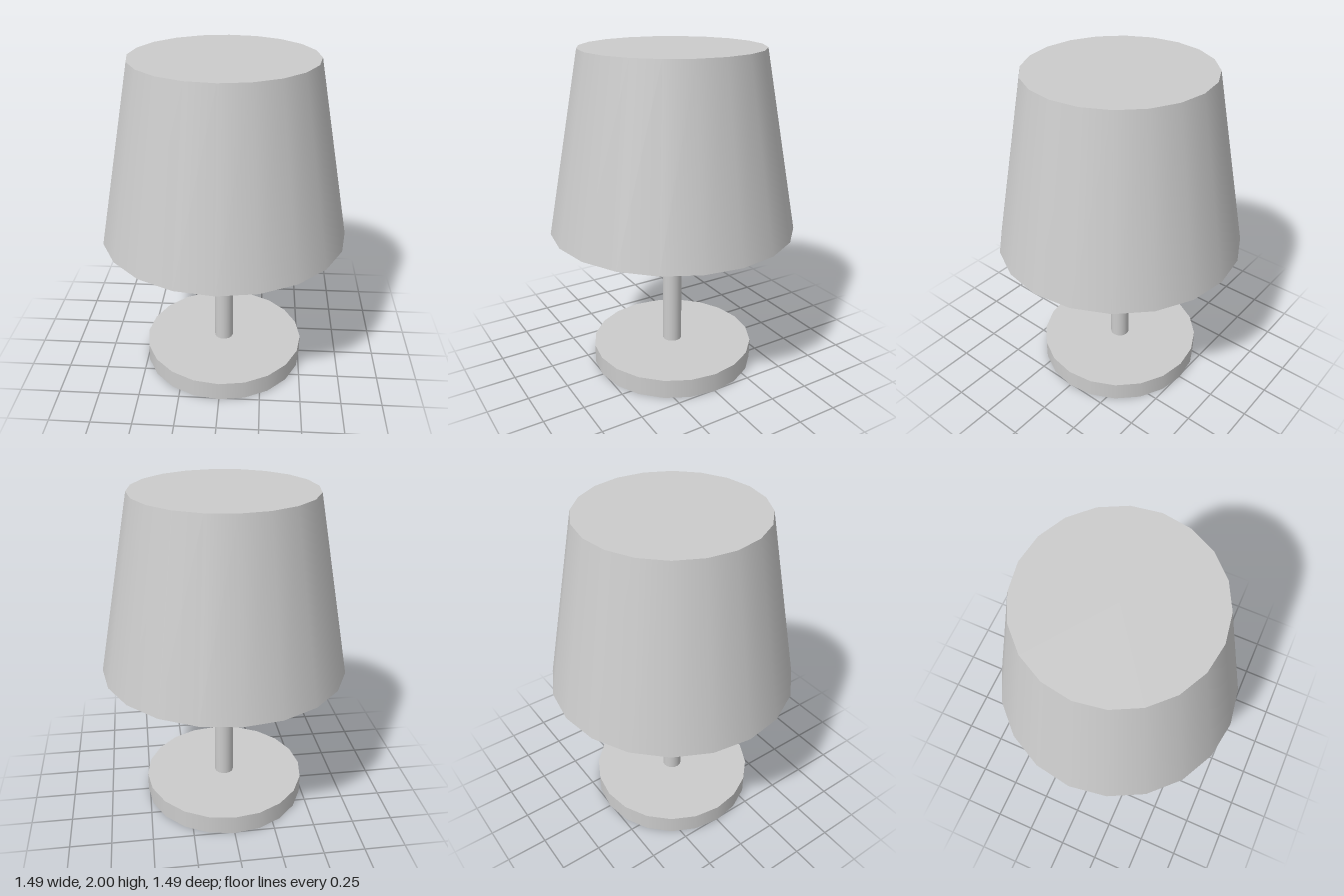
import * as THREE from 'three';

const SIDES = 20;

export function createModel() {
  const model = new THREE.Group();
  const smooth = new THREE.MeshStandardMaterial({ color: 0xcccccc });
  const inside = new THREE.MeshStandardMaterial({ color: 0xcccccc, flatShading: true, side: THREE.BackSide });

  const add = (name, geometry, material = smooth, parent = model) => {
    const mesh = new THREE.Mesh(geometry, material);
    mesh.name = name;
    parent.add(mesh);
    return mesh;
  };
  // Upright cylinder or cone between two heights
  const column = (name, rBottom, rTop, y0, y1, open = false, material = smooth, parent = model) =>
    add(name, new THREE.CylinderGeometry(rTop, rBottom, y1 - y0, SIDES, 1, open)
      .translate(0, (y0 + y1) / 2, 0), material, parent);

  // Foot and stem
  column('base', 0.51, 0.51, 0, 0.12);
  column('stem', 0.06, 0.06, 0.12, 1.16);
  column('collar', 0.08, 0.08, 0.975, 1.01);

  // Lamp socket and bulb
  column('socketRim', 0.097, 0.097, 1.14, 1.2);
  column('socket', 0.088, 0.088, 1.2, 1.4);
  const bulbProfile = new THREE.SplineCurve([
    [0.07, 1.4], [0.085, 1.46], [0.135, 1.56], [0.14, 1.64], [0.09, 1.73], [0, 1.76],
  ].map(([r, y]) => new THREE.Vector2(r, y))).getPoints(16);
  bulbProfile[16].x = 0;
  add('bulb', new THREE.LatheGeometry(bulbProfile, SIDES));

  // Hollow shade: smooth outside, faceted inside, closed top
  const shade = new THREE.Group();
  shade.name = 'shade';
  model.add(shade);
  column('shadeOuterWall', 0.745, 0.54, 0.92, 2, true, smooth, shade);
  column('shadeInnerWall', 0.66, 0.47, 0.92, 1.92, true, inside, shade);
  add('shadeTop', new THREE.CircleGeometry(0.54, SIDES).rotateX(-Math.PI / 2).translate(0, 2, 0), smooth, shade);
  add('shadeCeiling', new THREE.CircleGeometry(0.47, SIDES).rotateX(Math.PI / 2).translate(0, 1.92, 0), smooth, shade);
  add('shadeBottomRim', new THREE.RingGeometry(0.66, 0.745, SIDES).rotateX(Math.PI / 2).translate(0, 0.92, 0), smooth, shade);

  // Four wires holding the shade
  for (let i = 0; i < 4; i++) {
    const a = (i * Math.PI) / 2;
    const at = (r, y) => new THREE.Vector3(r * Math.cos(a), y, r * Math.sin(a));
    add('shadeWire', new THREE.TubeGeometry(new THREE.LineCurve3(at(0.07, 0.99), at(0.56, 1.5)), 1, 0.008, 8));
  }
  return model;
}
